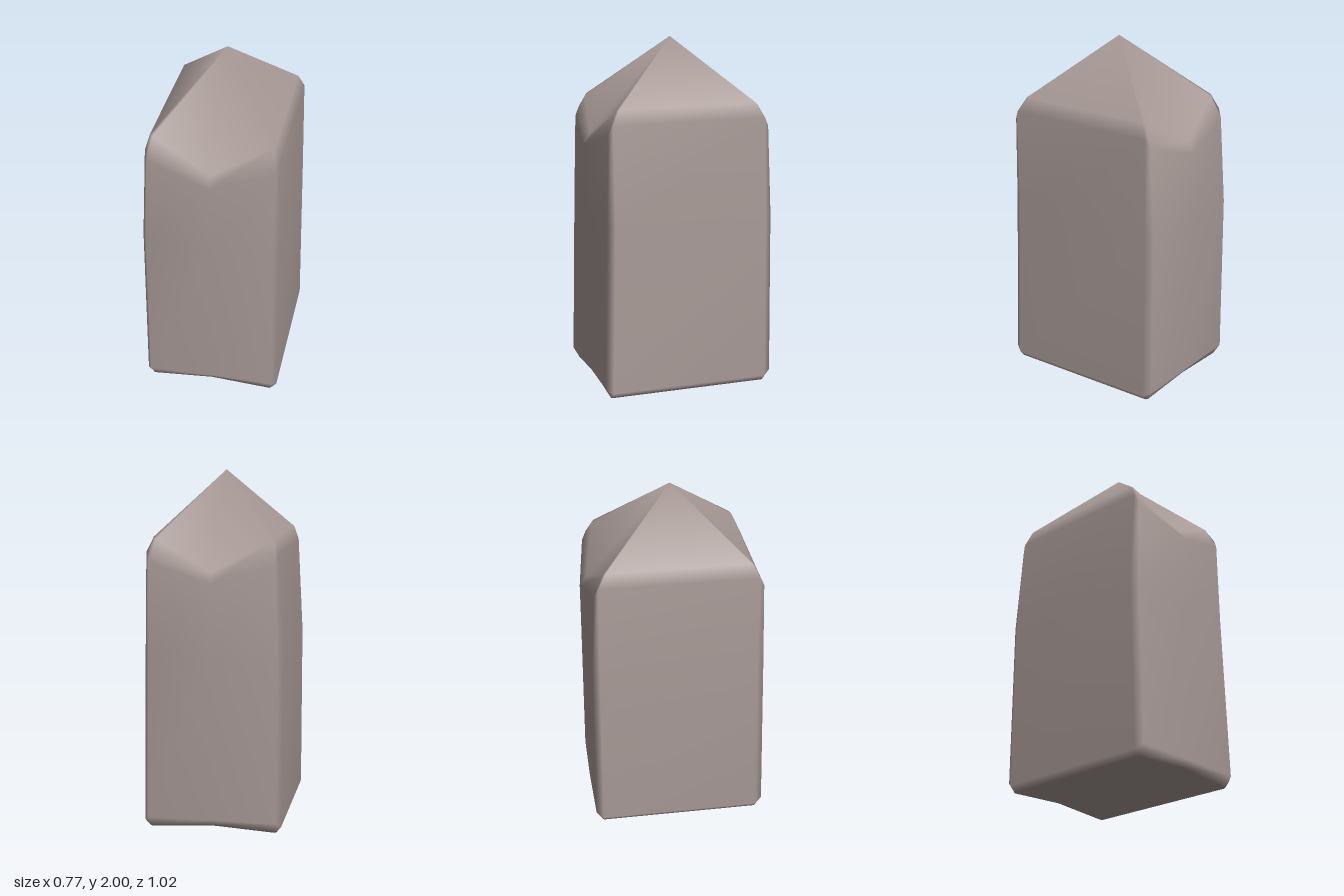
import * as THREE from 'three';

// One closed loop of ten points: four bevelled corners plus front and back ridge points.
// ySide / yFace: heights at the side and face ends of each corner bevel.
function ring({ xL, xR, zF, zB, ySide, yFace, yMid, midF, midB, bx = 0.025, bz = 0.04 }) {
  return [
    [xR, ySide, zF - bz], [xR, ySide, zB + bz], [xR - bx, yFace, zB],
    [0, yMid, midB],
    [xL + bx, yFace, zB], [xL, ySide, zB + bz], [xL, ySide, zF - bz], [xL + bx, yFace, zF],
    [0, yMid, midF],
    [xR - bx, yFace, zF],
  ];
}

// Skin the loops with smooth normals, closing to a point at each end.
function loft(bottom, rings, top) {
  const n = rings[0].length;
  const points = [bottom, ...rings.flat(), top];
  const last = points.length - 1;
  const index = [];
  for (let i = 0; i < n; i++) {
    const j = (i + 1) % n;
    index.push(0, 1 + j, 1 + i);
    for (let r = 0; r < rings.length - 1; r++) {
      const a = 1 + r * n, b = a + n;
      index.push(a + i, a + j, b + j, a + i, b + j, b + i);
    }
    const t = 1 + (rings.length - 1) * n;
    index.push(t + i, t + j, last);
  }
  const geometry = new THREE.BufferGeometry();
  geometry.setAttribute('position', new THREE.Float32BufferAttribute(points.flat(), 3));
  geometry.setIndex(index);
  geometry.computeVertexNormals();
  return geometry;
}

export function createModel() {
  const stone = new THREE.MeshStandardMaterial({ color: 0xa99b98 });
  stone.name = 'warm grey stone';

  const rings = [
    // underside rim
    ring({ xL: -0.36, xR: 0.355, zF: 0.465, zB: -0.455, ySide: 0.025, yFace: 0.025, yMid: 0.05, midF: 0.465, midB: -0.465, bx: 0.01, bz: 0.01 }),
    // foot of the walls
    ring({ xL: -0.388, xR: 0.385, zF: 0.498, zB: -0.49, ySide: 0.06, yFace: 0.085, yMid: 0.09, midF: 0.495, midB: -0.495 }),
    // waist
    ring({ xL: -0.39, xR: 0.373, zF: 0.475, zB: -0.485, ySide: 1.02, yFace: 1.02, yMid: 1.0, midF: 0.497, midB: -0.506 }),
    // eaves
    ring({ xL: -0.36, xR: 0.365, zF: 0.465, zB: -0.46, ySide: 1.57, yFace: 1.52, yMid: 1.41, midF: 0.512, midB: -0.508, bx: 0.015, bz: 0.025 }),
    // roof rim
    ring({ xL: -0.338, xR: 0.333, zF: 0.41, zB: -0.405, ySide: 1.65, yFace: 1.64, yMid: 1.47, midF: 0.472, midB: -0.468, bx: 0.012, bz: 0.012 }),
  ];

  const block = new THREE.Mesh(loft([0, 0, 0], rings, [0, 2, 0]), stone);
  block.name = 'pointedStone';

  const group = new THREE.Group();
  group.name = 'stonePillar';
  group.add(block);
  return group;
}
